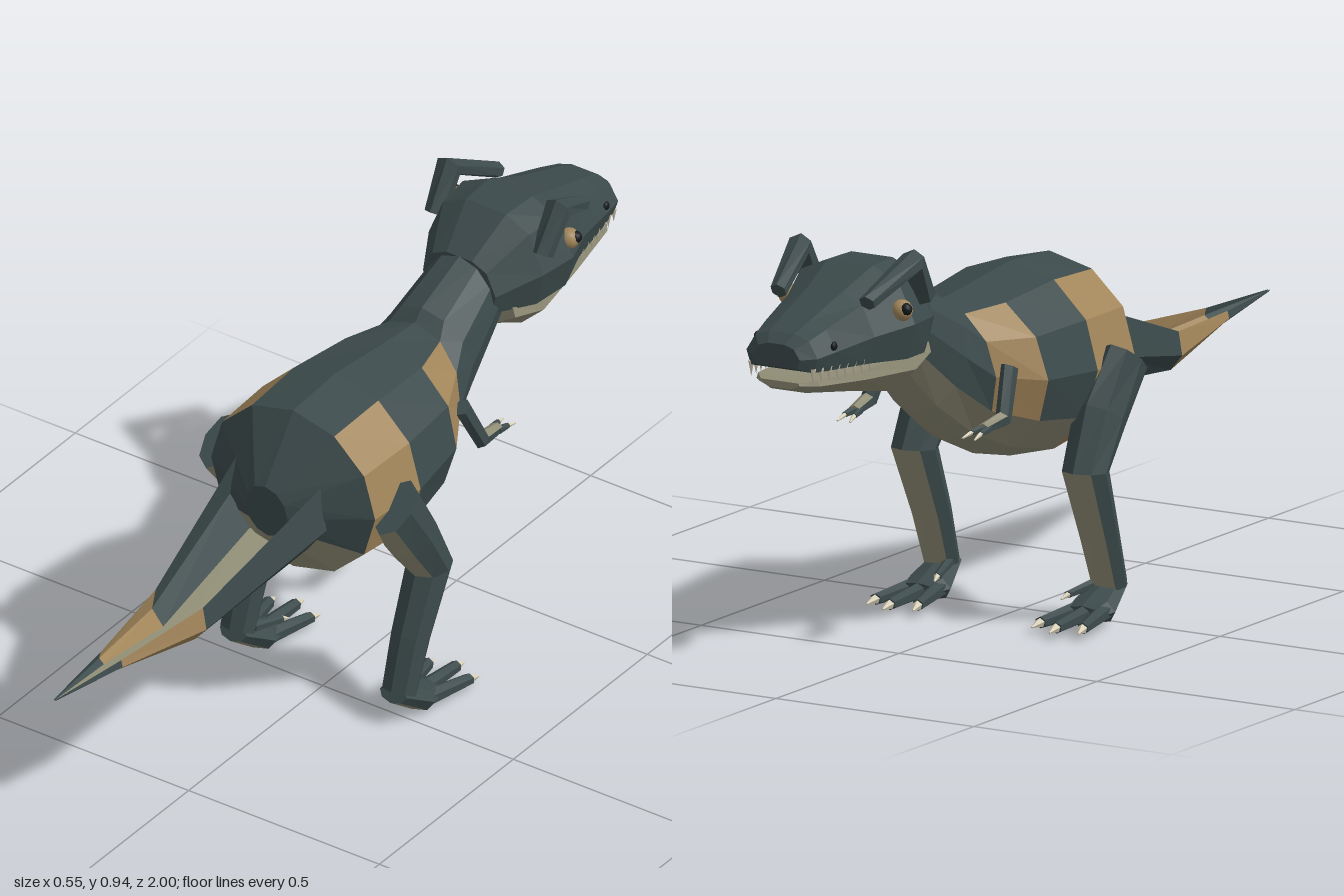
import * as THREE from 'three';

const mat = (name, color) => {
  const m = new THREE.MeshStandardMaterial({ color, side: THREE.DoubleSide });
  m.name = name;
  return m;
};

export function createModel() {
  const hide = mat('dark hide', 0x3c4a4b);
  const belly = mat('khaki belly', 0x8f8c75);
  const stripe = mat('tan stripe', 0xa1855a);
  const ivory = mat('ivory', 0xd6cdb4);
  const black = mat('black', 0x14181a);
  const model = new THREE.Group();
  const V = (x, y, z) => new THREE.Vector3(x, y, z);

  const add = (name, geo, material, parent = model) => {
    const m = new THREE.Mesh(geo, material);
    m.name = name;
    parent.add(m);
    return m;
  };

  // Faceted skin over rings of points; paint(ring, facet) picks each facet's material
  function loft(name, rings, paint, { open = false, caps = true, parent = model } = {}) {
    const buckets = new Map();
    const tri = (m, ...pts) => {
      if (!buckets.has(m)) buckets.set(m, []);
      pts.forEach(p => buckets.get(m).push(p.x, p.y, p.z));
    };
    const n = rings[0].length;
    for (let i = 0; i < rings.length - 1; i++) {
      for (let j = 0; j < (open ? n - 1 : n); j++) {
        const k = (j + 1) % n, m = paint(i, j);
        tri(m, rings[i][j], rings[i][k], rings[i + 1][k]);
        tri(m, rings[i][j], rings[i + 1][k], rings[i + 1][j]);
      }
    }
    if (caps && !open) {
      const centre = r => r.reduce((s, p) => s.add(p), V(0, 0, 0)).divideScalar(n);
      const first = rings[0], last = rings[rings.length - 1];
      const c0 = centre(first), c1 = centre(last);
      for (let j = 0; j < n; j++) {
        const k = (j + 1) % n;
        tri(paint(0, 0), c0, first[k], first[j]);
        tri(paint(rings.length - 2, 0), c1, last[j], last[k]);
      }
    }
    const geo = new THREE.BufferGeometry();
    const pos = [], mats = [];
    for (const [m, list] of buckets) {
      geo.addGroup(pos.length / 3, list.length / 3, mats.length);
      for (const v of list) pos.push(v);
      mats.push(m);
    }
    geo.setAttribute('position', new THREE.Float32BufferAttribute(pos, 3));
    geo.computeVertexNormals();
    return add(name, geo, mats, parent);
  }

  // Limb along a path of [x, y, z, half width, half depth]
  function limb(name, path, n, paint, parent) {
    const P = path.map(p => V(p[0], p[1], p[2]));
    const rings = path.map((p, i) => {
      const d = V(0, 0, 0);
      if (i > 0) d.add(P[i].clone().sub(P[i - 1]).normalize());
      if (i < P.length - 1) d.add(P[i + 1].clone().sub(P[i]).normalize());
      const u = V(1, 0, 0).cross(d).normalize();
      return Array.from({ length: n }, (_, j) => {
        const a = j / n * Math.PI * 2;
        return P[i].clone().addScaledVector(u, Math.cos(a) * p[4]).add(V(Math.sin(a) * p[3], 0, 0));
      });
    });
    return loft(name, rings, paint, { parent });
  }

  // Torso and neck: [z at top, z at bottom, top, bottom, half width]
  const trunk = [
    [0.215, 0.205, 0.63, 0.5, 0.055],
    [0.11, 0.11, 0.77, 0.37, 0.215],
    [-0.05, -0.05, 0.78, 0.35, 0.222],
    [-0.23, -0.2, 0.76, 0.385, 0.2],
    [-0.345, -0.3, 0.75, 0.435, 0.135],
    [-0.37, -0.44, 0.775, 0.525, 0.11],
    [-0.52, -0.575, 0.835, 0.65, 0.09],
    [-0.6, -0.62, 0.84, 0.67, 0.08],
  ].map(([zt, zb, top, bot, w]) => Array.from({ length: 12 }, (_, j) => {
    const a = j * Math.PI / 6, t = (1 - Math.cos(a)) / 2;
    return V(Math.sin(a) * w, top + (bot - top) * t, zt + (zb - zt) * t);
  }));
  loft('body', trunk, (i, j) => {
    const s = Math.min(j, 11 - j);
    if (i === 1 && s >= 1 && s <= 4) return stripe;
    if (i === 3 && s >= 1 && s <= 3) return stripe;
    return s >= 4 ? belly : hide;
  });

  // Tail: a tapering trough, open along the top
  const trough = [[1, 1], [1.15, 0.45], [0.68, 0.08], [0, 0], [-0.68, 0.08], [-1.15, 0.45], [-1, 1]];
  const tail = [
    [1, 0.507, 0.503, 0.002], [0.79, 0.505, 0.475, 0.027],
    [0.535, 0.515, 0.42, 0.062], [0.165, 0.64, 0.455, 0.11],
  ].map(([z, top, bot, w]) => trough.map(([u, v]) => V(u * w, bot + (top - bot) * v, z)));
  loft('tail', tail, (i, j) => (j === 2 || j === 3) ? belly : i === 1 ? stripe : hide, { open: true });

  // Skull and lower jaw: [z, top, bottom, half width]
  const section = (rows, half) => {
    const all = [...half, ...half.slice().reverse().map(([u, v]) => [-u, v])];
    return rows.map(([z, top, bot, w]) => all.map(([u, v]) => V(u * w, bot + (top - bot) * v, z)));
  };
  loft('skull', section([
    [-0.51, 0.83, 0.715, 0.095], [-0.61, 0.905, 0.705, 0.15], [-0.7, 0.905, 0.71, 0.165],
    [-0.8, 0.865, 0.715, 0.125], [-0.92, 0.825, 0.722, 0.103], [-0.975, 0.805, 0.725, 0.09],
    [-1, 0.785, 0.735, 0.06],
  ], [[0.35, 1], [0.75, 0.85], [1, 0.4], [0.88, 0]]), () => hide);
  loft('lowerJaw', section([
    [-0.555, 0.715, 0.66, 0.115], [-0.64, 0.71, 0.618, 0.13], [-0.8, 0.7, 0.648, 0.105],
    [-0.95, 0.703, 0.672, 0.08], [-0.985, 0.7, 0.685, 0.05],
  ], [[0.95, 1], [1, 0.6], [0.55, 0]]), () => belly);

  const solid = m => () => m;
  for (const s of [1, -1]) {
    const side = s > 0 ? 'left' : 'right';

    // Brow crest, eye, nostril
    limb(side + 'BrowCrest', [
      [s * 0.14, 0.83, -0.62, 0.024, 0.025], [s * 0.143, 0.92, -0.675, 0.031, 0.026],
      [s * 0.112, 0.85, -0.81, 0.02, 0.018]], 6, solid(hide));
    const eye = new THREE.Group();
    eye.name = side + 'Eye';
    eye.position.set(s * 0.142, 0.82, -0.717);
    model.add(eye);
    add('eyeball', new THREE.SphereGeometry(0.024, 12, 8), stripe, eye);
    add('pupil', new THREE.SphereGeometry(0.014, 10, 8), black, eye).position.set(s * 0.014, 0.005, -0.006);
    const nostril = add(side + 'Nostril', new THREE.SphereGeometry(0.011, 8, 6), black);
    nostril.position.set(s * 0.097, 0.775, -0.92);
    nostril.scale.x = 0.5;

    // Teeth along the upper jaw
    for (let k = 0; k < 8; k++) {
      const t = k / 7;
      const tooth = add(side + 'Tooth', new THREE.ConeGeometry(0.008, 0.034, 4), ivory);
      tooth.position.set(s * (0.107 - 0.029 * t), 0.709 + 0.008 * t, -0.79 - 0.185 * t);
      tooth.rotation.x = Math.PI;
    }

    // Hind leg, khaki on its lower-facing facets
    limb(side + 'Leg', [
      [s * 0.228, 0.575, 0.053, 0.042, 0.07], [s * 0.212, 0.46, -0.025, 0.058, 0.064],
      [s * 0.216, 0.35, -0.09, 0.052, 0.053], [s * 0.212, 0.2, -0.027, 0.046, 0.04],
      [s * 0.212, 0.08, 0.015, 0.042, 0.034]], 8,
    (i, j) => (i < 2 ? (j === 3 || j === 4) : (j === 0 || j === 7)) ? belly : hide);

    // Foot, three toes and a dewclaw, each with an ivory tip
    const foot = new THREE.Group();
    foot.name = side + 'Foot';
    model.add(foot);
    limb('sole', [
      [s * 0.21, 0.082, 0.035, 0.035, 0.022], [s * 0.208, 0.036, -0.045, 0.055, 0.034],
      [s * 0.208, 0.034, -0.09, 0.045, 0.018]], 8, (i, j) => (j === 3 || j === 4) ? belly : hide, foot);
    const digit = (name, a, b, r, claw, parent) => {
      const A = V(...a), B = V(...b), C = B.clone().addScaledVector(B.clone().sub(A).normalize(), claw);
      limb(name, [[...a, r, r], [...b, r * 0.7, r * 0.65]], 6, solid(hide), parent);
      limb(name + 'Claw', [[...b, r * 0.6, r * 0.55], [C.x, C.y - 0.004, C.z, 0.002, 0.002]], 5, solid(ivory), parent);
    };
    for (const [x0, x1, z1] of [[0.178, 0.155, -0.175], [0.208, 0.21, -0.2], [0.238, 0.262, -0.175]])
      digit('toe', [s * x0, 0.036, -0.05], [s * x1, 0.026, z1], 0.02, 0.028, foot);
    digit('dewclaw', [s * 0.185, 0.083, 0], [s * 0.165, 0.07, -0.08], 0.013, 0.02, foot);

    // Small arm and two fingers
    const arm = new THREE.Group();
    arm.name = side + 'Arm';
    model.add(arm);
    limb('armBones', [
      [s * 0.155, 0.615, -0.3, 0.018, 0.022], [s * 0.17, 0.512, -0.35, 0.018, 0.021],
      [s * 0.163, 0.502, -0.42, 0.015, 0.012]], 6,
    (i, j) => (i === 1 && (j === 0 || j === 5)) ? belly : hide, arm);
    for (const dx of [-0.012, 0.012])
      digit('finger', [s * (0.163 + dx * 0.6), 0.502, -0.41], [s * (0.16 + dx), 0.497, -0.445], 0.01, 0.028, arm);
  }
  return model;
}
